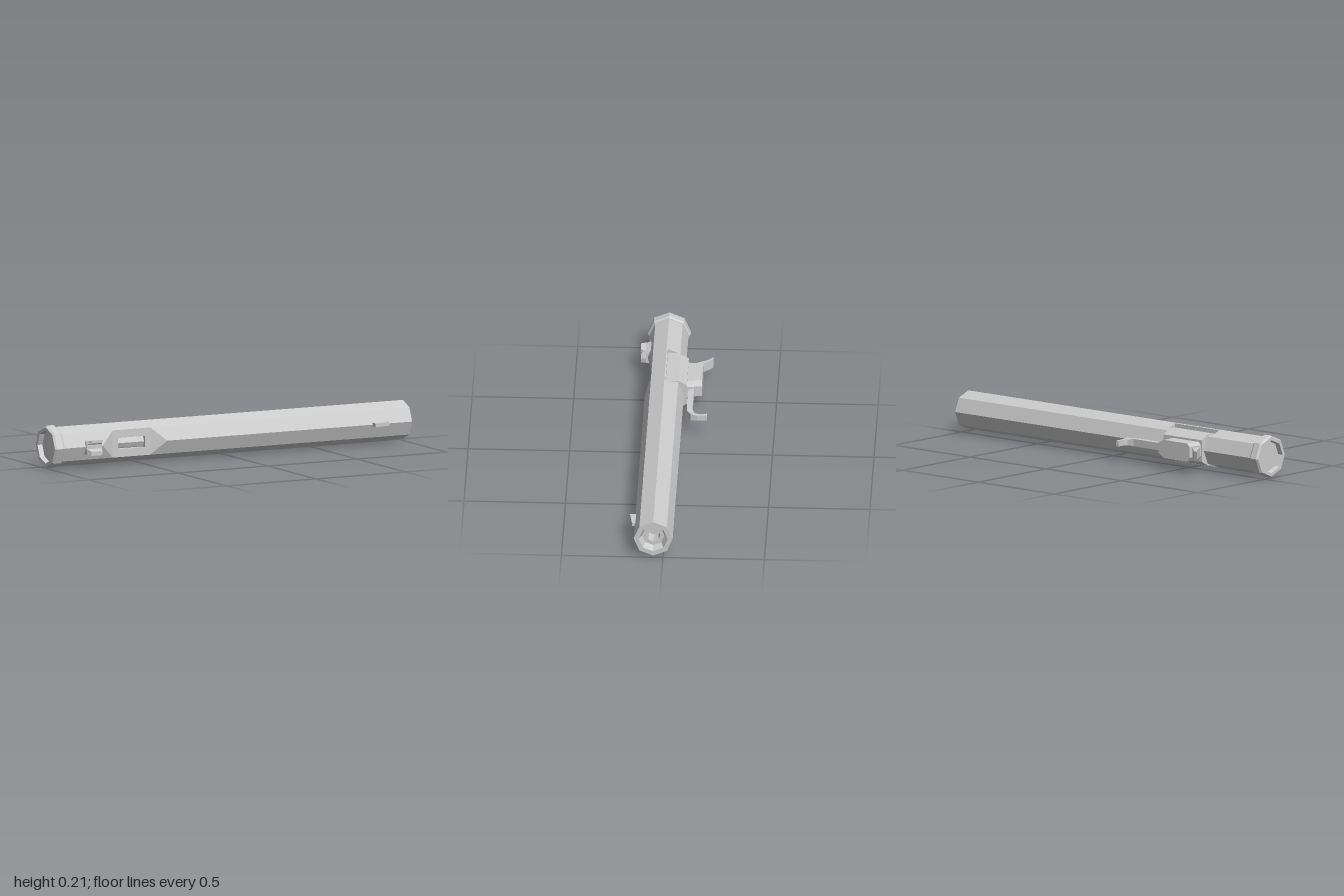
import * as THREE from 'three';

const CY = 0.111, CZ = 0.048, R = 0.096, FLAT = R * Math.SQRT1_2;
const FRONT = 2; // ring index of the front ridge

const material = new THREE.MeshStandardMaterial({ color: 0xcccccc, flatShading: true });

function add(group, name, geometry) {
  const mesh = new THREE.Mesh(geometry, material);
  mesh.name = name;
  group.add(mesh);
  return mesh;
}

function shapeOf(points) {
  return new THREE.Shape(points.map(([u, v]) => new THREE.Vector2(u, v)));
}

// Prism along x from [z, y] points
function prismX(points, x0, x1) {
  const g = new THREE.ExtrudeGeometry(shapeOf(points.map(([z, y]) => [-z, y])), { depth: x1 - x0, bevelEnabled: false });
  return g.rotateY(Math.PI / 2).translate(x0, 0, 0);
}

// Prism along y from [x, z] points
function prismY(points, y0, y1) {
  const g = new THREE.ExtrudeGeometry(shapeOf(points.map(([x, z]) => [x, -z])), { depth: y1 - y0, bevelEnabled: false });
  return g.rotateX(-Math.PI / 2).translate(0, y0, 0);
}

// Move every vertex by a rule
function deform(geometry, rule) {
  const p = geometry.attributes.position, v = new THREE.Vector3();
  for (let i = 0; i < p.count; i++) {
    rule(v.fromBufferAttribute(p, i));
    p.setXYZ(i, v.x, v.y, v.z);
  }
  geometry.computeVertexNormals();
  return geometry;
}

// Octagonal ring at x, as offsets from the axis; extra points on the rear
// facets allow a flat-floored notch, and the front ridge can be cut down
function ring(x, r, { notch = false, front = r } = {}) {
  const s = r / R;
  const corner = (k) => [r * Math.cos(k * Math.PI / 4), r * Math.sin(k * Math.PI / 4)];
  const side = [[0.073, -0.055], [notch ? 0.073 : 0.0935, -0.006], [0.0935, -0.006]].map(([y, z]) => [y * s, z * s]);
  const pts = [corner(0), corner(1), [0, front], corner(3), corner(4),
    ...side.slice().reverse().map(([y, z]) => [-y, z]),
    corner(5), corner(6), corner(7), ...side];
  return pts.map(([y, z]) => new THREE.Vector3(x, CY + y, CZ + z));
}

// Skin between rings, splitting each quad along its outer diagonal
function loft(rings, skip = () => false) {
  const out = [];
  const reach = (a, b) => Math.hypot((a.y + b.y) / 2 - CY, (a.z + b.z) / 2 - CZ);
  for (let i = 0; i < rings.length - 1; i++) {
    const n = rings[i].length;
    for (let j = 0; j < n; j++) {
      if (skip(i, j)) continue;
      const k = (j + 1) % n;
      const a = rings[i][j], b = rings[i][k], c = rings[i + 1][k], d = rings[i + 1][j];
      const tris = reach(b, d) > reach(a, c) + 1e-6 ? [a, b, d, b, c, d] : [a, b, c, a, c, d];
      for (const p of tris) out.push(p.x, p.y, p.z);
    }
  }
  const g = new THREE.BufferGeometry();
  g.setAttribute('position', new THREE.Float32BufferAttribute(out, 3));
  g.computeVertexNormals();
  return g;
}

export function createModel() {
  const model = new THREE.Group();
  model.name = 'octagonalTube';

  // Body with side notches, front cut and stepped muzzle bore
  const cut = { notch: true, front: FLAT };
  add(model, 'body', loft([
    ring(-0.96, R), ring(-0.73, R),
    ring(-0.66, R, { front: FLAT }), ring(-0.66, R, cut), ring(-0.45, R, cut),
    ring(-0.37, R, { notch: true }), ring(-0.37, R),
    ring(1, R), ring(1, 0.071), ring(0.965, 0.056), ring(0.965, 0.034), ring(0.9, 0.034), ring(0.9, 0),
  ], (i, j) => i === 3 && (j === FRONT - 1 || j === FRONT)));

  // Rear cap with chamfered rims and a shallow recess
  add(model, 'endCap', loft([
    ring(-0.975, 0), ring(-0.975, 0.078), ring(-1, 0.082), ring(-1, 0.099),
    ring(-0.99, 0.106), ring(-0.955, 0.106), ring(-0.945, 0.099), ring(-0.945, 0.08),
  ]));

  // Flat plate with the slot, and the bar seen through it
  const plate = shapeOf([[-0.66, CY - FLAT], [-0.45, CY - FLAT], [-0.45, CY + FLAT], [-0.66, CY + FLAT]]);
  plate.holes.push(new THREE.Path([[-0.63, 0.083], [-0.63, 0.139], [-0.48, 0.139], [-0.48, 0.083]]
    .map(([x, y]) => new THREE.Vector2(x, y))));
  add(model, 'slotPlate', new THREE.ExtrudeGeometry(plate, { depth: 0.03, bevelEnabled: false })
    .translate(0, 0, CZ + FLAT - 0.03));
  add(model, 'slotBar', new THREE.CylinderGeometry(0.034, 0.034, 0.17, 8)
    .rotateZ(Math.PI / 2).translate(-0.555, CY, 0.073));

  // Housing seated in the notches
  add(model, 'housing', prismX([
    [0.021, 0.188], [-0.022, 0.188], [-0.062, 0.165], [-0.062, 0.057], [-0.022, 0.034], [0.021, 0.034],
  ], -0.64, -0.385));

  // Chamfered block behind the housing, slightly narrower at its outer face
  const block = new THREE.ExtrudeGeometry(shapeOf([
    [-0.62, 0.064], [-0.445, 0.064], [-0.405, 0.085], [-0.405, 0.14],
    [-0.445, 0.155], [-0.62, 0.155], [-0.635, 0.14], [-0.635, 0.085],
  ]), { depth: 0.09, bevelEnabled: false }).translate(0, 0, -0.135);
  add(model, 'rearBlock', deform(block, (v) => {
    if (v.z < -0.1) v.x = -0.52 + (v.x + 0.52) * 0.88;
  }));

  // Curved hammer
  add(model, 'hammer', prismY([
    [-0.715, -0.183], [-0.69, -0.179], [-0.655, -0.142], [-0.615, -0.105],
    [-0.6, -0.066], [-0.63, -0.066], [-0.66, -0.11], [-0.685, -0.155],
  ], 0.084, 0.132));

  // Hooked lever, narrower towards its tip
  add(model, 'lever', deform(prismY([
    [-0.42, -0.098], [-0.22, -0.096], [-0.19, -0.108], [-0.183, -0.125], [-0.187, -0.17],
    [-0.17, -0.17], [-0.165, -0.12], [-0.172, -0.09], [-0.205, -0.07], [-0.36, -0.066], [-0.42, -0.072],
  ], 0.09, 0.127), (v) => {
    if (v.z < -0.105) v.y = 0.109 + (v.y - 0.109) * 0.75;
  }));

  // Rear sight: two prongs on a base, tapering outwards
  add(model, 'rearSight', deform(prismX([
    [0.12, 0.15], [0.155, 0.14], [0.179, 0.146], [0.179, 0.131], [0.152, 0.122],
    [0.152, 0.1], [0.179, 0.091], [0.179, 0.07], [0.155, 0.076], [0.12, 0.07],
  ], -0.825, -0.74), (v) => {
    if (v.z > 0.17) v.x = -0.78 + (v.x + 0.78) * 0.7;
  }));

  // Front sight blade
  add(model, 'frontSight', prismY([
    [0.78, 0.13], [0.78, 0.171], [0.865, 0.158], [0.865, 0.13],
  ], 0.102, 0.12));

  return model;
}
